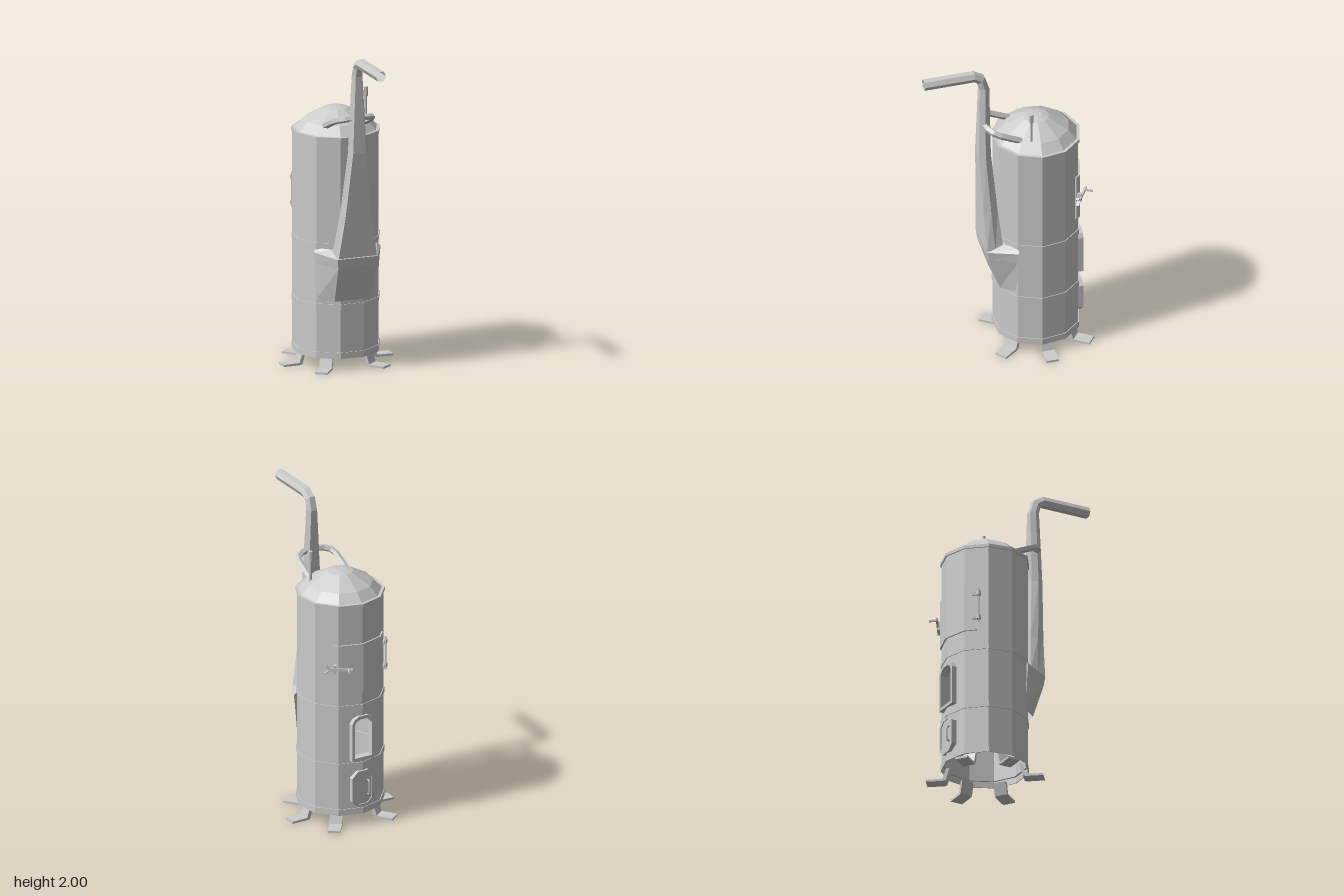
import * as THREE from 'three';

const SIDES = 11, STEP = Math.PI * 2 / SIDES, R = 0.268, CZ = -0.197;
const mat = new THREE.MeshStandardMaterial({ color: 0xcccccc, flatShading: true, side: THREE.DoubleSide });

function add(parent, name, geo, x = 0, y = 0, z = 0) {
  const m = new THREE.Mesh(geo, mat);
  m.name = name;
  m.position.set(x, y, z);
  parent.add(m);
  return m;
}

const vecs = pts => pts.map(p => new THREE.Vector2(...p));
const box = (w, h, d) => new THREE.BoxGeometry(w, h, d);

// Lathe whose corner points to the back
function lathe(parent, name, pts, start = 0, count = SIDES) {
  return add(parent, name, new THREE.LatheGeometry(vecs(pts), count, Math.PI + start * STEP, count * STEP));
}

// Radius of the faceted wall at an angle measured from the back towards +x
function facetR(az, r) {
  const a = ((az % STEP) + STEP) % STEP - STEP / 2;
  return r * Math.cos(STEP / 2) / Math.cos(a);
}

// Group on the wall with local +z pointing outwards
function mount(parent, name, az, y) {
  const g = new THREE.Group(), r = facetR(az, R);
  g.name = name;
  g.position.set(Math.sin(az) * r, y, -Math.cos(az) * r);
  g.rotation.y = Math.PI - az;
  parent.add(g);
  return g;
}

// Straight-sided tube along a few points
function pipe(parent, name, pts, r, sides = 6, seg = 1) {
  const path = new THREE.CatmullRomCurve3(pts.map(p => new THREE.Vector3(...p)), false, 'catmullrom', 0.1);
  return add(parent, name, new THREE.TubeGeometry(path, (pts.length - 1) * seg, r, sides));
}

// Skin over rings that all have the same number of points
function loft(rings) {
  const n = rings[0].length, idx = [];
  for (let i = 0; i < rings.length - 1; i++) {
    for (let j = 0; j < n; j++) {
      const a = i * n + j, b = i * n + (j + 1) % n;
      idx.push(a, b, b + n, a, b + n, a + n);
    }
  }
  const g = new THREE.BufferGeometry();
  g.setAttribute('position', new THREE.Float32BufferAttribute(rings.flat(2), 3));
  g.setIndex(idx);
  g.computeVertexNormals();
  return g;
}

// Arch-topped outline centred on x = 0
function arch(target, w, y0, y1) {
  const c = w * 0.6;
  target.setFromPoints(vecs([[-w, y0], [w, y0], [w, y1 - c], [w * 0.8, y1 - c * 0.4], [w * 0.4, y1],
    [-w * 0.4, y1], [-w * 0.8, y1 - c * 0.4], [-w, y1 - c]]));
  return target;
}

function buildBody(b) {
  const low = 0.42, high = 0.77;
  lathe(b, 'lowerWall', [[R, 0.075], [R, low]]);
  lathe(b, 'middleWall', [[R, low], [R, high]], 1, SIDES - 2);
  lathe(b, 'upperWall', [[R, high], [R, 1.47]]);
  // Two back panels, each with half of the window cut out
  for (const s of [1, -1]) {
    const ex = R * Math.sin(STEP);
    const geo = new THREE.ShapeGeometry(new THREE.Shape(vecs([[0, low], [ex, low], [ex, high], [0, high],
      [0, 0.71], [0.026, 0.71], [0.052, 0.69], [0.065, 0.67], [0.065, 0.45], [0, 0.45]])));
    const p = geo.attributes.position;
    for (let i = 0; i < p.count; i++) p.setZ(i, -R + p.getX(i) * Math.tan(STEP / 2));
    geo.computeVertexNormals();
    add(b, 'windowPanel', geo).scale.x = s;
  }
  // Bands and dome
  for (const [y0, y1] of [[0.075, 0.115], [0.38, 0.42], [0.77, 0.805], [1.455, 1.475]]) {
    const o = y0 > 1 ? 0.276 : 0.273;
    lathe(b, 'band', [[R, y0], [o, y0], [o, y1], [R - 0.012, y1]]);
  }
  lathe(b, 'dome', [[0.26, 1.472], [0.205, 1.53], [0.08, 1.6], [0.033, 1.61], [0, 1.61]]);
  // Gauge rod on the dome
  add(b, 'gaugeRod', new THREE.CylinderGeometry(0.009, 0.009, 0.16, 6), 0.163, 1.61, 0.08);
  add(b, 'gaugeHead', new THREE.CylinderGeometry(0.014, 0.014, 0.06, 6), 0.163, 1.702, 0.08);
}

function buildFeet(b) {
  const profile = new THREE.Shape(vecs([[0.215, 0.085], [0.238, 0.005], [0.255, 0], [0.362, 0], [0.362, 0.013],
    [0.258, 0.015], [0.236, 0.085]]));
  const geo = new THREE.ExtrudeGeometry(profile, { depth: 0.08, bevelEnabled: false });
  geo.translate(0, 0, -0.04);
  for (const deg of [0, 53, 127, 180, 233, 307]) add(b, 'foot', geo).rotation.y = deg * Math.PI / 180;
}

function buildOpenings(b) {
  // Window frame
  const frame = arch(new THREE.Shape(), 0.08, 0.435, 0.73);
  frame.holes.push(arch(new THREE.Path(), 0.062, 0.455, 0.71));
  add(b, 'windowFrame', new THREE.ExtrudeGeometry(frame, { depth: 0.05, bevelEnabled: false }), 0, 0, -R - 0.01);
  // Ash door with a raised rim and a handle
  const door = (w, h, c) => vecs([[-w, -h + c], [-w + c, -h], [w - c, -h], [w, -h + c], [w, h - c], [w - c, h],
    [-w + c, h], [-w, h - c]]);
  const rim = new THREE.Shape(door(0.078, 0.118, 0.04));
  rim.holes.push(new THREE.Path(door(0.062, 0.102, 0.034)));
  add(b, 'ashDoorRim', new THREE.ExtrudeGeometry(rim, { depth: 0.04, bevelEnabled: false }), 0, 0.245, -R - 0.01);
  add(b, 'ashDoor', new THREE.ExtrudeGeometry(new THREE.Shape(door(0.064, 0.104, 0.034)),
    { depth: 0.03, bevelEnabled: false }), 0, 0.245, -R - 0.004);
  pipe(b, 'ashDoorHandle', [[-0.035, 0.195, -R], [-0.035, 0.205, -R - 0.022], [-0.035, 0.285, -R - 0.022],
    [-0.035, 0.295, -R]], 0.006, 5, 2);
}

function buildHatch(b) {
  // Curved plate that follows the facets of the wall
  const az = [-0.87, -STEP, 0, STEP, 0.7];
  const at = (a, r) => [Math.sin(a) * facetR(a, r), Math.cos(a) * facetR(a, r)];
  const plan = new THREE.Shape(vecs([...az.map(a => at(a, R + 0.01)), ...az.slice().reverse().map(a => at(a, R - 0.008))]));
  const geo = new THREE.ExtrudeGeometry(plan, { depth: 0.31, bevelEnabled: false });
  geo.rotateX(-Math.PI / 2);
  add(b, 'hatch', geo, 0, 0.9, 0);
  // Hinge pin and knuckles
  const hinge = mount(b, 'hinge', -0.92, 1.06);
  add(hinge, 'hingePin', new THREE.CylinderGeometry(0.006, 0.006, 0.22, 6), 0, 0, 0.022);
  for (const y of [-0.08, 0.08]) {
    add(hinge, 'hingeKnuckle', new THREE.CylinderGeometry(0.014, 0.014, 0.025, 6), 0, y, 0.02);
    add(hinge, 'hingeStrap', box(0.05, 0.02, 0.02), -0.015, y, 0.01);
  }
  // Latch: bar across the edge, crank and wing nut
  const latch = mount(b, 'latch', 0.56, 1.06);
  add(latch, 'latchBar', box(0.15, 0.016, 0.012), 0.01, 0, 0.025);
  add(latch, 'latchKeeper', box(0.02, 0.055, 0.03), -0.025, 0, 0.014);
  add(latch, 'latchCrank', box(0.01, 0.012, 0.06), 0.06, 0, 0.045);
  for (const s of [-1, 1]) {
    const wing = add(latch, 'latchWing', box(0.04, 0.012, 0.02), -0.07, s * 0.014, 0.02);
    wing.rotation.z = -s * 0.7;
  }
}

function buildChimney(g) {
  // Each section: y, z, tilt, half width, half depth, width ratio of the flat faces
  const sections = [[0.735, 0.1, 0, 0.13, 0.052, 0.97], [1.0, 0.118, 0, 0.1, 0.045, 0.85],
    [1.4, 0.142, 0, 0.062, 0.038, 0.68], [1.88, 0.138, 0, 0.036, 0.03, 0.58],
    [1.942, 0.157, 0.75, 0.034, 0.03, 0.55], [1.97, 0.2, 1.57, 0.034, 0.03, 0.55], [1.97, 0.52, 1.57, 0.034, 0.03, 0.55]];
  const hex = [[1, 0], [0, -1, 1], [0, -1, -1], [-1, 0], [0, 1, -1], [0, 1, 1]];
  add(g, 'chimneyDuct', loft(sections.map(([y, z, t, w, d, f]) => hex.map(([e, k, s = 0]) =>
    [e * w + s * w * f, y - Math.sin(t) * d * k, z + Math.cos(t) * d * k]))));

  // Flared smoke box under the duct
  const half = [[[0.12, 0.445, 0.07], [0.2, 0.445, -0.03]],
    [[0.125, 0.67, 0.143], [0.215, 0.68, -0.02]],
    [[0.132, 0.73, 0.15], [0.222, 0.745, -0.02]],
    [[0.132, 0.77, 0.04], [0.2, 0.77, -0.03]]];
  const mirror = ([x, y, z]) => [-x, y, z];
  add(g, 'smokeBox', loft(half.map(([a, c]) => [mirror(c), mirror(a), a, c])));

  // Clamp arms from the dome to the duct
  for (const s of [1, -1]) {
    pipe(g, 'clampArm', [[s * 0.13, 1.525, -0.065], [s * 0.128, 1.595, 0.09], [s * 0.08, 1.61, 0.128],
      [s * 0.03, 1.615, 0.14]], 0.021, 5, 2);
  }
}

export function createModel() {
  const model = new THREE.Group();
  model.name = 'boiler';
  const body = new THREE.Group();
  body.name = 'boilerBody';
  body.position.z = CZ;
  model.add(body);
  buildBody(body);
  buildFeet(body);
  buildOpenings(body);
  buildHatch(body);
  buildChimney(model);
  return model;
}
